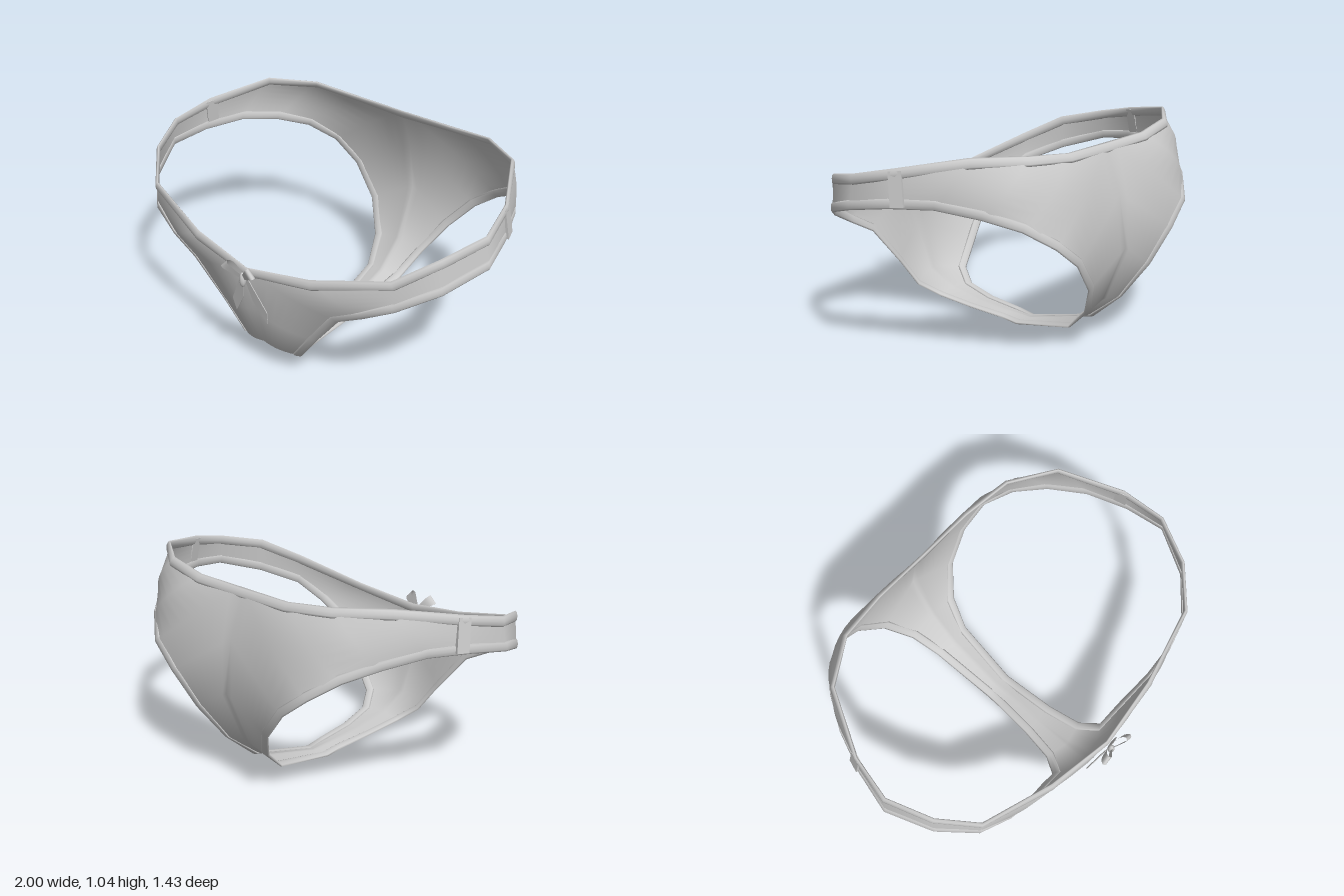
import * as THREE from 'three';
import { mergeGeometries, mergeVertices } from 'three/addons/utils/BufferGeometryUtils.js';

const V = (x, y, z) => new THREE.Vector3(x, y, z);
const material = new THREE.MeshStandardMaterial({ color: 0xcccccc, side: THREE.DoubleSide });

// Stations run from the side seam round the front, under the crotch and up the back.
// Outer loop: waist line plus centre line of the left half.
const outer = [
  [0.97, 0.94, 0.12], [0.88, 0.89, 0.34], [0.73, 0.795, 0.5], [0.35, 0.695, 0.595], [0, 0.645, 0.64],
  [0, 0.4, 0.61], [0, 0.17, 0.54], [0, 0.085, 0.41], [0, 0.05, 0.2], [0, 0.04, 0],
  [0, 0.035, -0.13], [0, 0.11, -0.42], [0, 0.24, -0.58], [0, 0.52, -0.7], [0, 0.78, -0.66],
  [0, 1.015, -0.575], [0.3, 1.015, -0.575], [0.55, 1.04, -0.54], [0.77, 1.052, -0.4], [0.93, 0.99, -0.1],
].map(p => V(...p));
// Inner loop: edge of the leg opening.
const leg = [
  [0.998, 0.78, 0.12], [0.9, 0.71, 0.34], [0.75, 0.635, 0.49], [0.6, 0.555, 0.525], [0.46, 0.48, 0.53],
  [0.3, 0.28, 0.495], [0.19, 0.13, 0.475], [0.13, 0.075, 0.38], [0.1, 0.045, 0.2], [0.085, 0.03, 0],
  [0.08, 0.015, -0.1], [0.11, 0.09, -0.45], [0.16, 0.21, -0.58], [0.26, 0.37, -0.675], [0.4, 0.53, -0.71],
  [0.54, 0.64, -0.695], [0.66, 0.73, -0.6], [0.77, 0.785, -0.46], [0.87, 0.82, -0.28], [0.95, 0.81, -0.08],
].map(p => V(...p));
// How far the cloth swells outward at each station.
const bulge = [0, 0, 0, 0.02, 0.03, 0.03, 0.02, 0, 0, 0, 0, 0, 0.01, 0, 0.01, 0.03, 0.055, 0.05, 0.02, 0];

// Skins a grid of points given as rows.
function skin(rows, closeU = false, closeV = false) {
  const n = rows[0].length, m = rows.length, index = [];
  for (let i = 0; i < (closeU ? m : m - 1); i++) {
    for (let j = 0; j < (closeV ? n : n - 1); j++) {
      const a = i * n + j, b = ((i + 1) % m) * n + j;
      const c = i * n + (j + 1) % n, d = ((i + 1) % m) * n + (j + 1) % n;
      index.push(a, b, c, b, d, c);
    }
  }
  const g = new THREE.BufferGeometry().setFromPoints(rows.flat());
  g.setIndex(index);
  return g;
}

// Joins a left half with its mirror image and smooths across the centre.
function mirrored(half) {
  const other = half.clone().scale(-1, 1, 1);
  const ix = other.index.array;
  for (let i = 0; i < ix.length; i += 3) [ix[i], ix[i + 1]] = [ix[i + 1], ix[i]];
  const g = mergeVertices(mergeGeometries([half, other]), 1e-4);
  g.computeVertexNormals();
  return g;
}

// Flat trim following an edge, spreading in the given directions.
function trim(path, dirs, width, thick, closed) {
  const n = path.length;
  const rows = path.map((p, i) => {
    const prev = path[closed ? (i + n - 1) % n : Math.max(i - 1, 0)];
    const next = path[closed ? (i + 1) % n : Math.min(i + 1, n - 1)];
    const t = next.clone().sub(prev);
    if (!closed && p.x === 0) t.set(t.x, 0, 0);
    t.normalize();
    const d = dirs[i].clone().addScaledVector(t, -dirs[i].dot(t)).normalize();
    const normal = t.clone().cross(d);
    return Array.from({ length: 8 }, (_, k) => {
      const a = -k * Math.PI / 4;
      return p.clone().addScaledVector(d, width * (0.47 + 0.5 * Math.cos(a)))
        .addScaledVector(normal, thick * Math.sin(a));
    });
  });
  return skin(rows, closed, true);
}

export function createModel() {
  const model = new THREE.Group();
  const add = (name, geometry) => {
    const mesh = new THREE.Mesh(geometry, material);
    mesh.name = name;
    model.add(mesh);
    return mesh;
  };

  // Cloth panels
  const rows = outer.map((o, i) => {
    const out = o.clone().add(leg[i]);
    out.set(out.x * 0.4, 0, out.z).normalize();
    return Array.from({ length: 9 }, (_, j) => {
      const v = j / 8;
      return o.clone().lerp(leg[i], v).addScaledVector(out, bulge[i] * 4 * v * (1 - v));
    });
  });
  add('clothPanels', mirrored(skin(rows, true)));

  // Waistband
  const order = [15, 16, 17, 18, 19, 0, 1, 2, 3, 4];
  const down = order.map(i => {
    const d = rows[i][1].clone().sub(rows[i][0]).normalize();
    if (outer[i].x === 0) d.set(0, -1, i === 15 ? -0.35 : 0);
    return d;
  });
  add('waistband', mirrored(trim(order.map(i => outer[i]), down, 0.05, 0.01, false)));

  // Leg trims
  const inward = rows.map(r => r[7].clone().sub(r[8]).normalize());
  add('legTrims', mirrored(trim(leg, inward, 0.046, 0.007, true)));

  // Side seam tabs
  for (const s of [1, -1]) {
    const tab = add('sideSeamTab', new THREE.BoxGeometry(0.018, 0.16, 0.065));
    tab.position.set(s * 0.934, 0.9, -0.115);
    tab.rotation.set(0.12, s * 0.3, s * 0.1);
  }

  // Bow loops: a ribbon folded out to a tip and back, broad side to the front
  const across = V(0.7, -0.7, 0);
  const loop = new THREE.CatmullRomCurve3([
    V(0, 0.605, 0.67), V(0.04, 0.638, 0.695), V(0.075, 0.668, 0.712), V(0.083, 0.674, 0.7),
    V(0.07, 0.664, 0.68), V(0.035, 0.633, 0.665), V(0, 0.605, 0.66),
  ]).getPoints(16).map(p => {
    const w = 0.01 + 0.22 * p.x;
    return [p.clone().addScaledVector(across, -w), p.clone().addScaledVector(across, w)];
  });
  add('bowLoops', mirrored(skin(loop)));

  // Bow tails lying on the cloth
  const tailShape = new THREE.Shape([[0, 0.61], [0.03, 0.47], [0.1, 0.355], [0.11, 0.43], [0.03, 0.59]]
    .map(p => new THREE.Vector2(...p)));
  for (const s of [1, -1]) {
    const g = new THREE.ExtrudeGeometry(tailShape, { depth: 0.004, bevelEnabled: false });
    const pos = g.attributes.position;
    for (let i = 0; i < pos.count; i++) {
      pos.setZ(i, pos.getZ(i) + 0.622 + (pos.getY(i) - 0.4) * 0.18);
    }
    g.computeVertexNormals();
    add('bowTail', g).scale.x = s;
  }

  // Bow knot
  const knot = add('bowKnot', new THREE.SphereGeometry(0.022, 10, 8));
  knot.position.set(0, 0.595, 0.67);
  knot.scale.set(0.8, 1.8, 0.8);

  return model;
}
